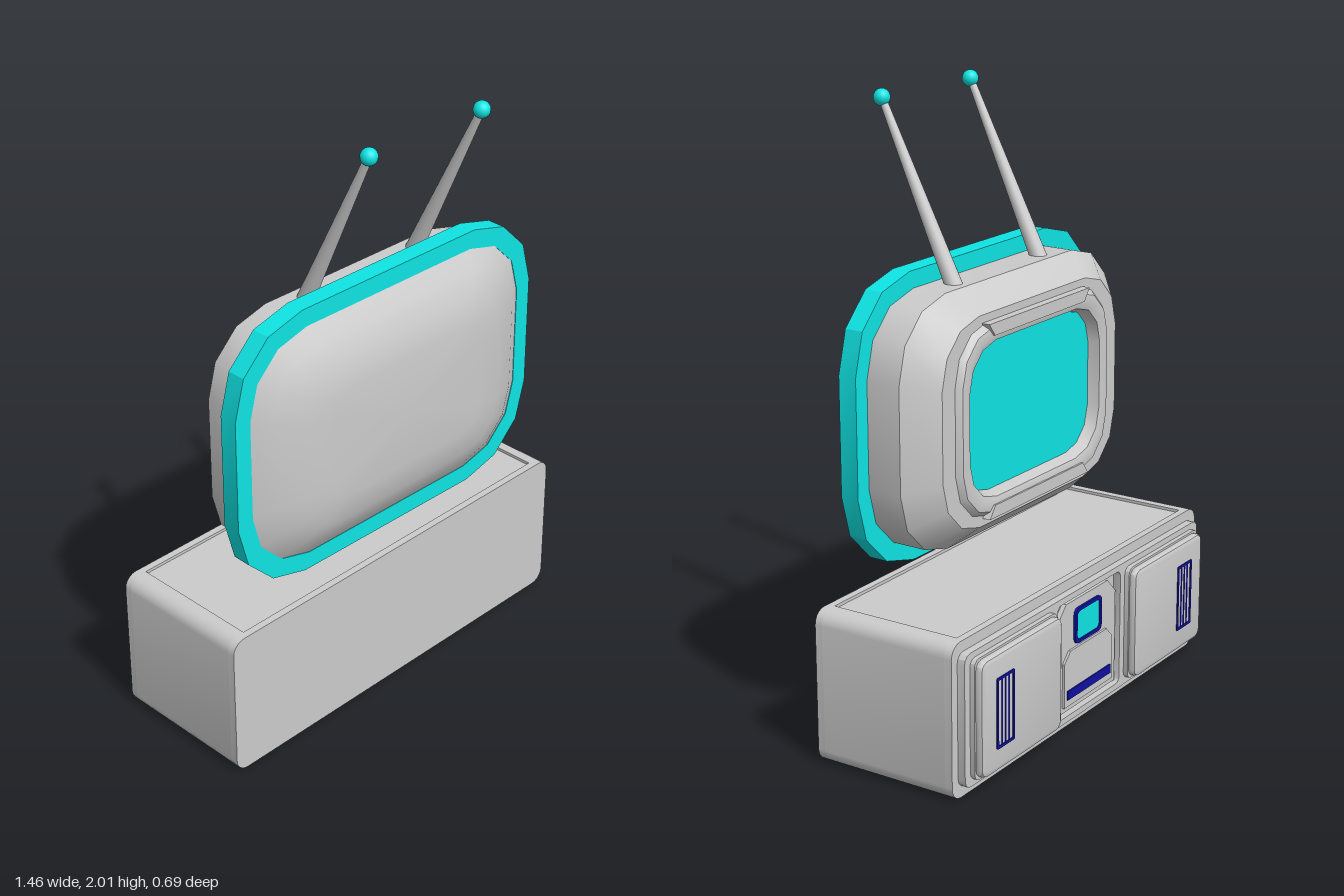
import * as THREE from 'three';
import { toCreasedNormals } from 'three/addons/utils/BufferGeometryUtils.js';

const grey = new THREE.MeshStandardMaterial({ color: 0xcccccc });
const cyan = new THREE.MeshStandardMaterial({ color: 0x10e4e4 });
const navy = new THREE.MeshStandardMaterial({ color: 0x1010a0 });

function add(parent, name, geometry, material = grey, x = 0, y = 0, z = 0) {
  const mesh = new THREE.Mesh(geometry, material);
  mesh.name = name;
  mesh.position.set(x, y, z);
  parent.add(mesh);
  return mesh;
}

// Rounded rectangle, counter-clockwise, each corner an arc of a few segments
function outline(hw, hh, r, segs = 3) {
  const pts = [];
  [[1, 1], [-1, 1], [-1, -1], [1, -1]].forEach(([sx, sy], q) => {
    for (let i = 0; i <= segs; i++) {
      const a = (q + i / segs) * Math.PI / 2;
      pts.push(new THREE.Vector2(sx * (hw - r) + r * Math.cos(a), sy * (hh - r) + r * Math.sin(a)));
    }
  });
  return pts;
}

// Plate between z0 and z1, with optional hole and bevel
function plate(points, z0, z1, hole = null, bevel = 0) {
  const shape = new THREE.Shape(points);
  if (hole) shape.holes.push(new THREE.Path(hole));
  const geo = new THREE.ExtrudeGeometry(shape, {
    depth: z1 - z0 - 2 * bevel, bevelEnabled: bevel > 0, bevelSize: bevel,
    bevelOffset: -bevel, bevelThickness: bevel, bevelSegments: 2,
  });
  geo.translate(0, 0, z0 + bevel);
  return toCreasedNormals(geo, 0.5);
}

// Closed skin through rounded-rectangle sections [halfWidth, halfHeight, radius, z]
function loft(sections, crease) {
  const pos = [], idx = [];
  const n = outline(1, 1, 0.5).length;
  for (const [hw, hh, r, z] of sections) for (const p of outline(hw, hh, r)) pos.push(p.x, p.y, z);
  const last = sections.length - 1;
  pos.push(0, 0, sections[0][3], 0, 0, sections[last][3]);
  const c0 = n * (last + 1);
  for (let j = 0; j < n; j++) {
    const k = (j + 1) % n;
    for (let i = 0; i < last; i++) {
      const a = i * n + j, b = i * n + k;
      idx.push(a, b, b + n, a, b + n, a + n);
    }
    idx.push(c0, k, j, c0 + 1, last * n + j, last * n + k);
  }
  const geo = new THREE.BufferGeometry();
  geo.setAttribute('position', new THREE.Float32BufferAttribute(pos, 3));
  geo.setIndex(idx);
  return toCreasedNormals(geo, crease);
}

function createTelevision() {
  const tv = new THREE.Group();
  tv.name = 'television';

  // Housing: screen recess, bezel, chamfered shell, domed back
  add(tv, 'housing', loft([
    [0.35, 0.235, 0.13, -0.055], [0.365, 0.25, 0.14, -0.105], [0.385, 0.27, 0.15, -0.112],
    [0.405, 0.295, 0.16, -0.108], [0.42, 0.31, 0.17, -0.09], [0.485, 0.335, 0.19, -0.09],
    [0.583, 0.405, 0.235, -0.005], [0.585, 0.405, 0.235, 0.17], [0.52, 0.35, 0.2, 0.21],
    [0.42, 0.28, 0.15, 0.25], [0.32, 0.19, 0.08, 0.263],
  ], 0.6));
  add(tv, 'screen', plate(outline(0.352, 0.237, 0.13), -0.068, -0.06), cyan);
  add(tv, 'rimBand', plate(outline(0.638, 0.46, 0.27), 0.112, 0.175, outline(0.58, 0.4, 0.23)), cyan);

  // Trim bars above and below the screen
  for (const s of [1, -1]) {
    const bar = [[-0.28, 0.31], [-0.25, 0.27], [0.25, 0.27], [0.28, 0.31]].map(([x, y]) => new THREE.Vector2(x, y * s));
    add(tv, s > 0 ? 'upperTrim' : 'lowerTrim', plate(bar, -0.118, -0.085));
  }

  // Forward-leaning antennas with ball tips
  for (const s of [1, -1]) {
    const base = new THREE.Vector3(s * 0.232, 0.385, 0.04);
    const tip = new THREE.Vector3(s * 0.232, 0.948, 0.31);
    const dir = tip.clone().sub(base);
    const side = s > 0 ? 'left' : 'right';
    const mid = base.clone().add(tip).multiplyScalar(0.5);
    const rod = add(tv, side + 'Antenna', new THREE.CylinderGeometry(0.012, 0.028, dir.length(), 16), grey, mid.x, mid.y, mid.z);
    rod.quaternion.setFromUnitVectors(new THREE.Vector3(0, 1, 0), dir.normalize());
    add(tv, side + 'AntennaBase', new THREE.SphereGeometry(0.028, 16, 10), grey, base.x, base.y, base.z);
    add(tv, side + 'AntennaTip', new THREE.SphereGeometry(0.027, 16, 12), cyan, tip.x, tip.y, tip.z);
  }
  tv.position.set(-0.004, 1.03, 0);
  tv.rotation.y = -0.016;
  return tv;
}

function createCabinet() {
  const cabinet = new THREE.Group();
  cabinet.name = 'cabinet';
  cabinet.position.y = 0.25;

  // Body: full end walls, middle run notched above (shallow) and below (deeper)
  const full = outline(0.73, 0.25, 0.045, 5);
  const notched = [];
  full.forEach((p, i) => {
    notched.push(p);
    if (i === 5) for (const [x, y] of [[0.665, 0.25], [0.665, 0.24], [-0.665, 0.24], [-0.665, 0.25]]) notched.push(new THREE.Vector2(x, y));
    if (i === 17) for (const [x, y] of [[-0.665, -0.25], [-0.665, -0.205], [0.665, -0.205], [0.665, -0.25]]) notched.push(new THREE.Vector2(x, y));
  });
  add(cabinet, 'body', plate(notched, -0.255, 0.195));
  add(cabinet, 'rearWall', plate(full, 0.195, 0.22));
  add(cabinet, 'frontWall', plate(full, -0.28, -0.255));

  // Underside panel seams
  for (const x of [-0.33, 0, 0.33]) add(cabinet, 'undersideRib', new THREE.BoxGeometry(0.006, 0.006, 0.45), grey, x, -0.206, -0.03);

  // Face frame with the open centre bay
  add(cabinet, 'faceFrame', plate(outline(0.7, 0.215, 0.03), -0.306, -0.28, outline(0.19, 0.195, 0.02)));

  // Doors with slotted vertical grilles near their outer edges
  for (const s of [1, -1]) {
    const door = new THREE.Group();
    door.name = s > 0 ? 'leftDoor' : 'rightDoor';
    door.position.x = s * 0.445;
    add(door, 'doorBase', plate(outline(0.228, 0.195, 0.025), -0.322, -0.3));
    add(door, 'doorPanel', plate(outline(0.222, 0.188, 0.03), -0.346, -0.31, null, 0.012));
    const grille = new THREE.Group();
    grille.name = 'grille';
    grille.position.x = s * 0.1;
    add(grille, 'grilleFrame', plate(outline(0.047, 0.115, 0.004), -0.349, -0.34, outline(0.038, 0.106, 0.003)), navy);
    for (const x of [-0.019, 0, 0.019]) add(grille, 'grilleBar', new THREE.BoxGeometry(0.006, 0.212, 0.008), navy, x, 0, -0.344);
    door.add(grille);
    cabinet.add(door);
  }

  // Centre bay: arched panel, small display and drawer with a handle strip
  const arch = (hw, top, bottom, c) => [[hw, bottom], [hw, top - c], [hw - c, top], [c - hw, top], [-hw, top - c], [-hw, bottom]]
    .map(([x, y]) => new THREE.Vector2(x, y));
  add(cabinet, 'centrePanel', plate(arch(0.175, 0.18, -0.185, 0.05), -0.296, -0.275));
  add(cabinet, 'drawer', plate(arch(0.145, 0.02, -0.165, 0.035), -0.304, -0.29));
  add(cabinet, 'drawerHandle', new THREE.BoxGeometry(0.26, 0.03, 0.01), navy, 0, -0.125, -0.304);
  add(cabinet, 'displayFrame', plate(outline(0.08, 0.06, 0.02), -0.304, -0.29, outline(0.068, 0.048, 0.015)), navy, 0, 0.09);
  add(cabinet, 'display', plate(outline(0.07, 0.05, 0.015), -0.3, -0.29), cyan, 0, 0.09);
  return cabinet;
}

export function createModel() {
  const model = new THREE.Group();
  model.name = 'televisionOnCabinet';
  model.add(createCabinet(), createTelevision());
  return model;
}
